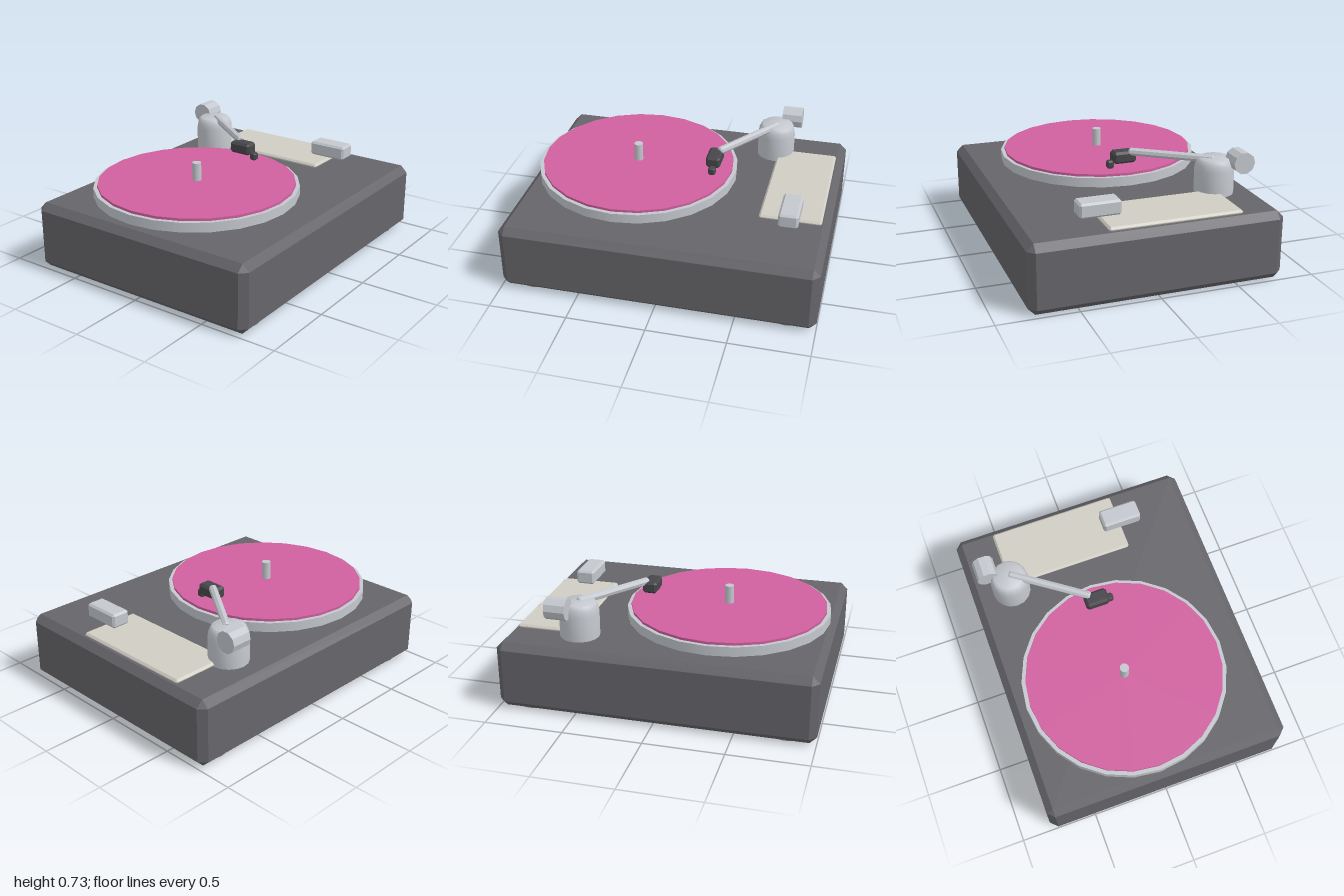
import * as THREE from 'three';
import { toCreasedNormals } from 'three/addons/utils/BufferGeometryUtils.js';
import { ConvexGeometry } from 'three/addons/geometries/ConvexGeometry.js';

const mat = (color, flatShading = true) => new THREE.MeshStandardMaterial({ color, flatShading });
const dark = mat(0x66656a);
const black = mat(0x47474b);
const rubber = mat(0x838386);
const metal = mat(0xc4c8ce);
const metalSmooth = mat(0xc4c8ce, false);
const pink = mat(0xd0609f);
const pinkSmooth = mat(0xd0609f, false);
const cream = mat(0xd0cdc4);

// Box given by its min and max corners, with every edge cut at 45 degrees
function chamferBox(min, max, c) {
  const mid = min.map((v, i) => (v + max[i]) / 2);
  const half = min.map((v, i) => (max[i] - v) / 2);
  const points = [];
  for (const sx of [-1, 1]) for (const sy of [-1, 1]) for (const sz of [-1, 1]) {
    const s = [sx, sy, sz];
    for (let full = 0; full < 3; full++) {
      points.push(new THREE.Vector3(...s.map((sign, i) => mid[i] + sign * (half[i] - (i === full ? 0 : c)))));
    }
  }
  return new ConvexGeometry(points);
}

// Upright cylinder between two heights
function disc(radius, y0, y1, sides) {
  return new THREE.CylinderGeometry(radius, radius, y1 - y0, sides).translate(0, (y0 + y1) / 2, 0);
}

function lathe(points, sides) {
  return new THREE.LatheGeometry(points.map(([r, y]) => new THREE.Vector2(r, y)), sides);
}

export function createModel() {
  const model = new THREE.Group();
  model.name = 'recordPlayer';
  const add = (name, geometry, material, x = 0, y = 0, z = 0) => {
    const mesh = new THREE.Mesh(geometry, material);
    mesh.name = name;
    mesh.position.set(x, y, z);
    model.add(mesh);
    return mesh;
  };

  // Plinth and feet
  add('plinth', chamferBox([-1, 0.003, -0.8], [1, 0.441, 0.8], 0.044), dark);
  for (const x of [-0.81, 0.81]) for (const z of [-0.65, 0.65]) {
    add('foot', disc(0.11, 0, 0.03, 16), rubber, x, 0, z);
  }

  // Platter, record and spindle share one axis
  const px = -0.315, pz = -0.05;
  add('platter', disc(0.655, 0.474, 0.535, 24), metalSmooth, px, 0, pz);
  add('record', disc(0.63, 0.53, 0.551, 24), pinkSmooth, px, 0, pz);
  add('spindle', disc(0.029, 0.54, 0.668, 12), metalSmooth, px, 0, pz);

  // Control panel and slider knob
  add('controlPanel', chamferBox([0.553, 0.438, -0.54], [0.948, 0.467, 0.307], 0.012), cream);
  add('sliderKnob', chamferBox([0.69, 0.483, 0.18], [0.815, 0.577, 0.44], 0.013), metal);

  // Tonearm base with a rounded shoulder
  const base = lathe([[0, 0.438], [0.125, 0.438], [0.125, 0.6], [0.119, 0.635], [0.108, 0.66], [0.095, 0.67], [0, 0.67]], 16);
  add('tonearmBase', toCreasedNormals(base, 0.7), metalSmooth, 0.53, 0, -0.537);

  // Tonearm: a thin octagonal rod with chamfered ends
  const from = new THREE.Vector3(0.54, 0.66, -0.53);
  const to = new THREE.Vector3(0.22, 0.66, -0.085);
  const h = from.distanceTo(to) / 2;
  const arm = add('tonearm', lathe([[0, -h], [0.018, -h], [0.026, -h + 0.01], [0.026, h - 0.01], [0.018, h], [0, h]], 8), metal);
  arm.position.lerpVectors(from, to, 0.5);
  arm.quaternion.setFromUnitVectors(new THREE.Vector3(0, 1, 0), to.clone().sub(from).normalize());

  // Counterweight lies along x
  const weight = new THREE.CylinderGeometry(0.07, 0.07, 0.133, 10).rotateZ(Math.PI / 2);
  add('counterweight', weight, metal, 0.621, 0.66, -0.667);

  // Headshell and stylus
  add('headshell', chamferBox([0.151, 0.588, -0.13], [0.245, 0.665, 0.024], 0.015), black);
  add('stylus', chamferBox([0.175, 0.555, 0.013], [0.221, 0.607, 0.06], 0.01), black);

  return model;
}
